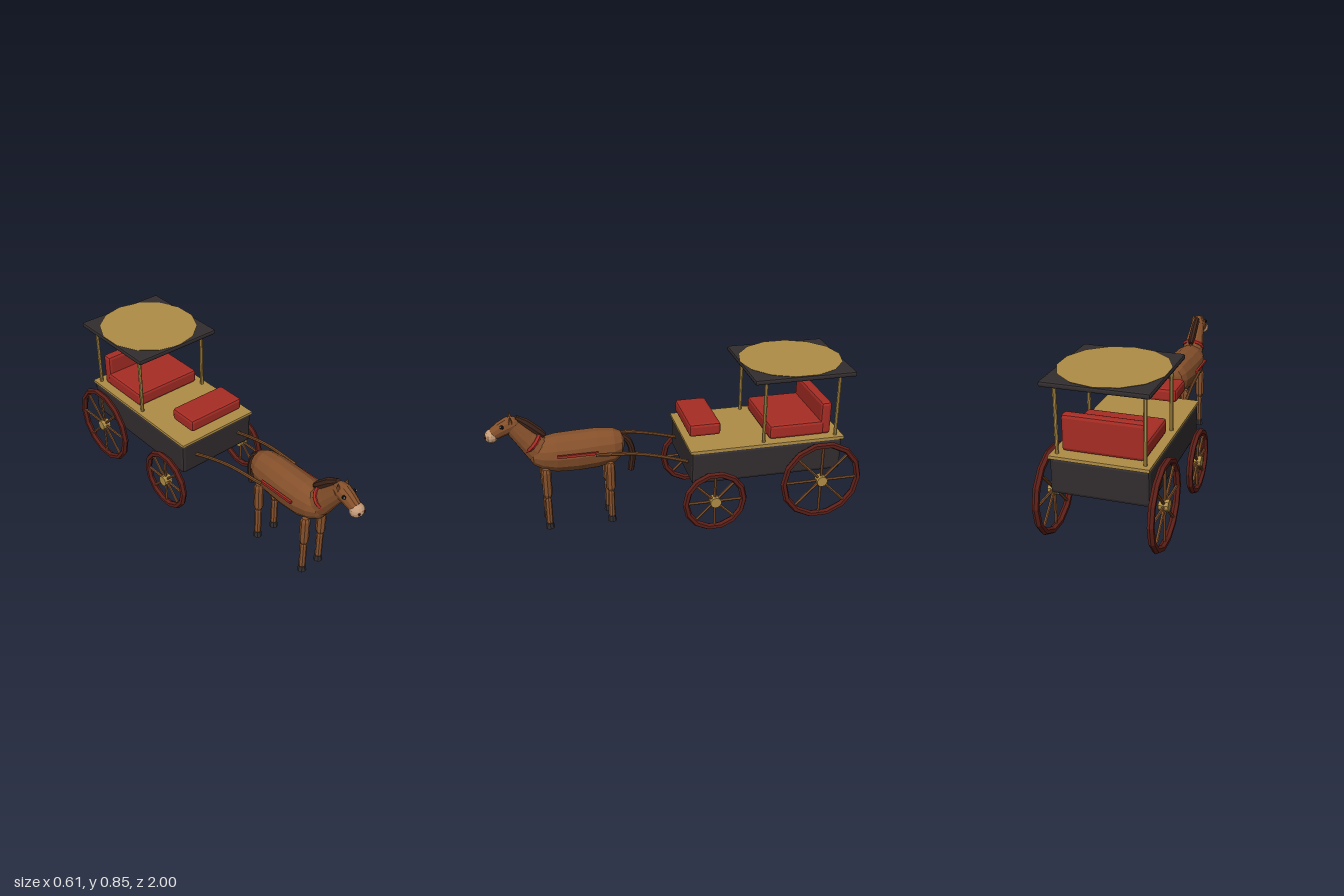
import * as THREE from 'three';
import { RoundedBoxGeometry } from 'three/addons/geometries/RoundedBoxGeometry.js';

const paint = (name, color) => {
  const m = new THREE.MeshStandardMaterial({ color, flatShading: true });
  m.name = name;
  return m;
};

// Closed skin over elliptical rings [z, y, halfWidth, halfHeight, tilt]
function loft(rings, sides = 14) {
  const pos = [], index = [];
  const all = [[...rings[0]], ...rings, [...rings.at(-1)]];
  for (const end of [all[0], all.at(-1)]) end[2] = end[3] = 0;
  for (const [z, y, rx, ry, t = 0] of all) {
    for (let j = 0; j < sides; j++) {
      const a = (j / sides) * Math.PI * 2, u = ry * Math.sin(a);
      pos.push(rx * Math.cos(a), y + u * Math.cos(t), z + u * Math.sin(t));
    }
  }
  for (let i = 0; i < all.length - 1; i++) {
    for (let j = 0; j < sides; j++) {
      const a = i * sides + j, b = i * sides + (j + 1) % sides;
      if (i > 0) index.push(a, b, a + sides);
      if (i < all.length - 2) index.push(b, b + sides, a + sides);
    }
  }
  const g = new THREE.BufferGeometry();
  g.setAttribute('position', new THREE.Float32BufferAttribute(pos, 3));
  g.setIndex(index);
  g.computeVertexNormals();
  return g;
}

// Chamfered box given by its limits on each axis
function block(x, y0, y1, z0, z1, bevel) {
  return new RoundedBoxGeometry(2 * x, y1 - y0, z1 - z0, 1, bevel)
    .translate(0, (y0 + y1) / 2, (z0 + z1) / 2);
}

const tube = (points, radius, sides = 8) => new THREE.TubeGeometry(
  new THREE.CatmullRomCurve3(points.map(p => new THREE.Vector3(...p))), 12, radius, sides);

export function createModel() {
  const model = new THREE.Group();
  model.name = 'horseAndCarriage';
  const black = paint('blackLacquer', 0x322d2f);
  const gold = paint('brassGold', 0xb08d46);
  const red = paint('redUpholstery', 0xa62c24);
  const rimRed = paint('wheelRed', 0x5c1f18);
  const wood = paint('wood', 0x7f4f2a);
  const coat = paint('horseCoat', 0x85502b);
  const mane = paint('darkHair', 0x3e241a);
  const tan = paint('muzzleTan', 0xc39a78);
  const eyeBlack = paint('eyeBlack', 0x141214);
  const white = paint('eyeWhite', 0xeeeeee);

  const add = (parent, name, geometry, material, x = 0, y = 0, z = 0) => {
    const mesh = new THREE.Mesh(geometry, material);
    mesh.name = name;
    mesh.position.set(x, y, z);
    parent.add(mesh);
    return mesh;
  };

  // Carriage body, deck and seats
  const carriage = new THREE.Group();
  carriage.name = 'carriage';
  model.add(carriage);
  add(carriage, 'carriageBody', block(0.245, 0.276, 0.464, -0.89, -0.05, 0.018), black);
  add(carriage, 'deck', new THREE.BoxGeometry(0.494, 0.016, 0.855), gold, 0, 0.467, -0.47);
  add(carriage, 'driverSeat', block(0.174, 0.522, 0.594, -0.225, -0.053, 0.016), red);
  add(carriage, 'passengerSeat', block(0.205, 0.476, 0.556, -0.8, -0.488, 0.016), red);
  add(carriage, 'seatBack', block(0.205, 0.476, 0.663, -0.835, -0.775, 0.018), red);

  // Canopy on four posts
  for (const x of [-0.216, 0.216]) {
    for (const z of [-0.45, -0.857]) {
      add(carriage, 'canopyPost', new THREE.CylinderGeometry(0.01, 0.01, 0.355, 8), gold, x, 0.652, z);
    }
  }
  add(carriage, 'canopy', block(0.263, 0.825, 0.853, -0.932, -0.375, 0.01), black);
  const cover = add(carriage, 'canopyCover',
    new THREE.CylinderGeometry(0.27, 0.262, 0.006, 14), gold, 0, 0.8545, -0.653);
  cover.scale.z = 1.05;

  // Spoked wheels
  const wheel = (name, side, z, radius) => {
    const g = new THREE.Group();
    g.name = name;
    g.position.set(side * 0.28, radius + 0.006, z);
    g.rotation.y = Math.PI / 2;
    add(g, 'rim', new THREE.TorusGeometry(radius - 0.017, 0.018, 6, 14), rimRed);
    for (let i = 0; i < 4; i++) {
      const spoke = add(g, 'spokePair', new THREE.CylinderGeometry(0.008, 0.008, 2 * radius - 0.03, 6), wood);
      spoke.rotation.z = i * Math.PI / 4;
    }
    add(g, 'hub', new THREE.CylinderGeometry(0.03, 0.03, 0.048, 10).rotateX(Math.PI / 2), gold);
    carriage.add(g);
  };

  // Horse body, neck and head
  const horse = new THREE.Group();
  horse.name = 'horse';
  model.add(horse);
  add(horse, 'horseBody', loft([
    [0.272, 0.455, 0.03, 0.035], [0.288, 0.445, 0.062, 0.072], [0.33, 0.438, 0.082, 0.1],
    [0.42, 0.434, 0.092, 0.112], [0.53, 0.43, 0.098, 0.113], [0.64, 0.43, 0.097, 0.108],
    [0.71, 0.433, 0.084, 0.09], [0.76, 0.437, 0.06, 0.062], [0.782, 0.44, 0.025, 0.028],
  ]), coat);
  add(horse, 'neck', loft([
    [0.68, 0.425, 0.072, 0.08, -0.8], [0.735, 0.468, 0.065, 0.074, -0.82],
    [0.79, 0.53, 0.052, 0.058, -0.85], [0.855, 0.61, 0.04, 0.046, -0.85],
  ], 12), coat);
  add(horse, 'head', loft([
    [0.822, 0.636, 0.02, 0.02, 0.45], [0.835, 0.63, 0.034, 0.036, 0.45],
    [0.87, 0.618, 0.042, 0.048, 0.45], [0.91, 0.6, 0.039, 0.043, 0.45],
    [0.955, 0.574, 0.033, 0.034, 0.45],
  ], 12), coat);
  add(horse, 'muzzle', new THREE.SphereGeometry(1, 12, 8), tan, 0, 0.563, 0.964).scale.set(0.042, 0.037, 0.036);
  add(horse, 'mane', loft([
    [0.692, 0.538, 0.015, 0.016, -0.7], [0.72, 0.562, 0.02, 0.024, -0.7],
    [0.785, 0.62, 0.02, 0.026, -0.7], [0.835, 0.655, 0.015, 0.016, -0.7],
  ], 8), mane);
  add(horse, 'tail', tube([[0, 0.5, 0.295], [0, 0.465, 0.25], [0, 0.38, 0.225], [0, 0.278, 0.235]], 0.018), mane);
  // Collar shows only where it bulges past the sides of the neck
  const collar = add(horse, 'collar', new THREE.TorusGeometry(0.054, 0.014, 6, 14), red, 0, 0.505, 0.758);
  collar.rotation.x = -0.75;

  for (const s of [-1, 1]) {
    const side = s > 0 ? 'left' : 'right';
    wheel(side + 'FrontWheel', s, -0.17, 0.177);
    wheel(side + 'RearWheel', s, -0.77, 0.231);

    // Shafts and side straps
    add(carriage, side + 'Shaft', tube([
      [s * 0.152, 0.368, -0.06], [s * 0.143, 0.41, 0.08], [s * 0.135, 0.44, 0.22], [s * 0.122, 0.453, 0.44],
    ], 0.01), wood);
    add(horse, side + 'Strap', new THREE.BoxGeometry(0.012, 0.014, 0.215), red, s * 0.109, 0.455, 0.532);

    // Face details
    const ear = add(horse, side + 'Ear', new THREE.ConeGeometry(0.014, 0.042, 6), coat, s * 0.03, 0.657, 0.862);
    ear.rotation.z = -s * 0.15;
    add(horse, side + 'Eye', new THREE.SphereGeometry(0.011, 8, 6), eyeBlack, s * 0.036, 0.623, 0.907);
    add(horse, side + 'EyeGlint', new THREE.SphereGeometry(0.004, 6, 4), white, s * 0.042, 0.628, 0.914);
    add(horse, side + 'Nostril', new THREE.SphereGeometry(0.007, 8, 6), rimRed, s * 0.018, 0.565, 0.994);

    // Legs
    for (const [end, z] of [['Front', 0.7], ['Rear', 0.357]]) {
      const leg = new THREE.Group();
      leg.name = side + end + 'Leg';
      leg.position.set(s * 0.06, 0, z);
      add(leg, 'upperLeg', new THREE.CapsuleGeometry(0.026, 0.133, 2, 8), coat, 0, 0.282, 0);
      add(leg, 'lowerLeg', new THREE.CapsuleGeometry(0.019, 0.14, 2, 8), coat, 0, 0.112, 0);
      add(leg, 'hoof', new THREE.CylinderGeometry(0.019, 0.025, 0.032, 8), black, 0, 0.02, 0);
      horse.add(leg);
    }
  }
  return model;
}
